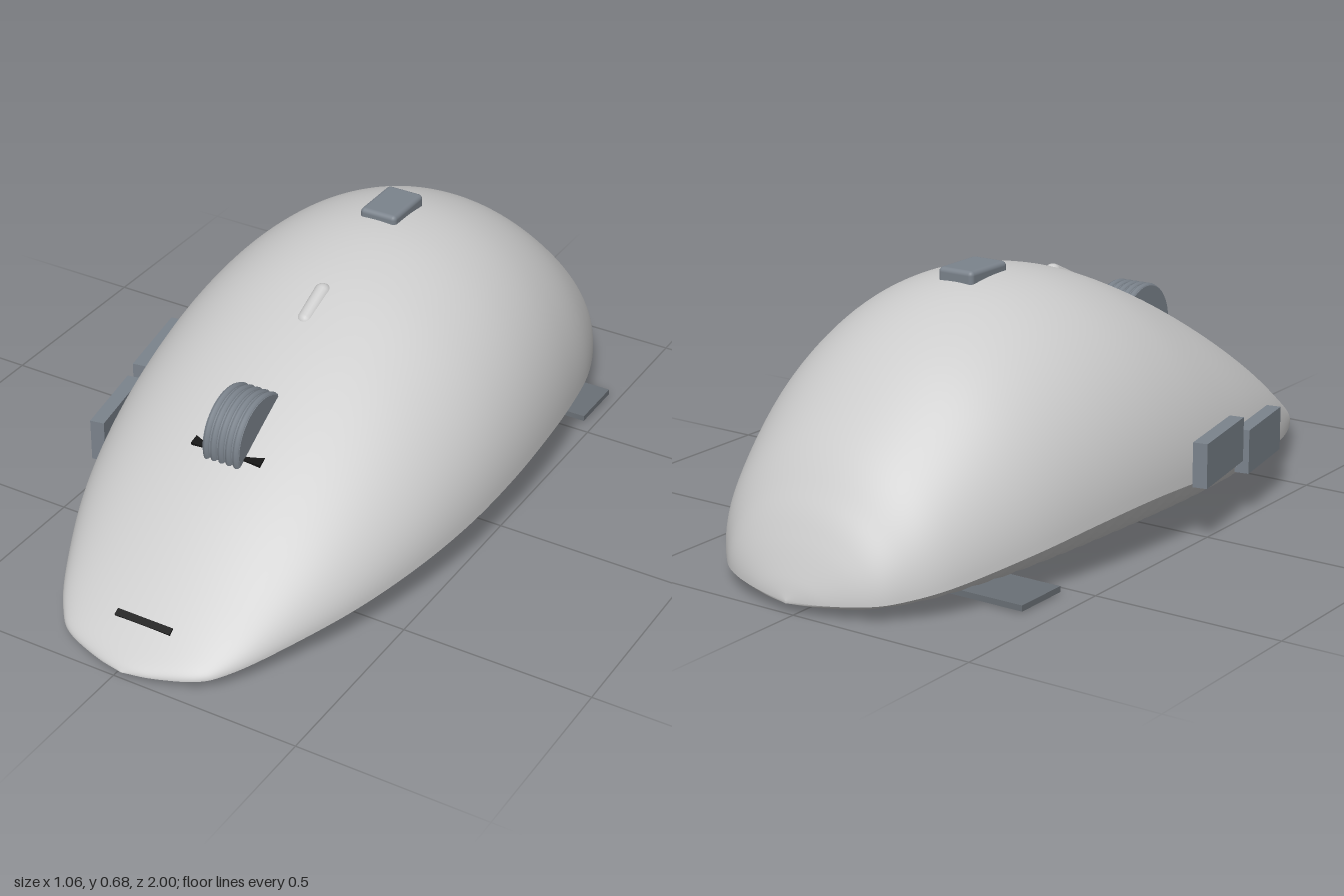
import * as THREE from 'three';
import { RoundedBoxGeometry } from 'three/addons/geometries/RoundedBoxGeometry.js';

const CX = 0.022; // centre line of the body

// Body stations: z, half width, top height, rim height
const stations = [
  [1, 0, 0.018, 0.017], [0.985, 0.08, 0.035, 0.02], [0.95, 0.18, 0.062, 0.028],
  [0.9, 0.235, 0.1, 0.038], [0.8, 0.3, 0.175, 0.058], [0.6, 0.395, 0.32, 0.088],
  [0.4, 0.457, 0.445, 0.112], [0.2, 0.492, 0.55, 0.13], [0, 0.505, 0.628, 0.146],
  [-0.2, 0.498, 0.66, 0.152], [-0.4, 0.472, 0.636, 0.14], [-0.6, 0.425, 0.545, 0.113],
  [-0.8, 0.343, 0.38, 0.075], [-0.9, 0.265, 0.257, 0.052], [-0.95, 0.2, 0.17, 0.042],
  [-0.985, 0.1, 0.085, 0.034], [-1, 0, 0.03, 0.028],
];
const sizes = new THREE.CatmullRomCurve3(
  stations.map(s => new THREE.Vector3(s[1], s[2], s[3])), false, 'catmullrom', 0.5);
const depths = new THREE.CatmullRomCurve3(
  stations.map(s => new THREE.Vector3(s[0], 0, 0)), false, 'catmullrom', 0.5);

const material = color => new THREE.MeshStandardMaterial({ color });
const shellMat = material(0xcccccc);
const greyMat = material(0x7b838c);
const padMat = material(0x6a7076);
const blackMat = material(0x151515);

// Bend a grid so each row follows one cross-section; rule(u, w, h, r, z) gives [x, y]
function loft(columns, rows, rule) {
  const geo = new THREE.PlaneGeometry(1, 1, columns, rows);
  const p = geo.attributes.position;
  for (let i = 0; i < p.count; i++) {
    const t = 0.5 - p.getY(i);
    const { x: w, y: h, z: r } = sizes.getPoint(1 - t);
    const z = THREE.MathUtils.clamp(depths.getPoint(1 - t).x, -1, 1);
    const [x, y] = rule(p.getX(i) * 2, Math.max(w, 0), h, r, z);
    p.setXYZ(i, CX + x, y, z);
  }
  geo.computeVertexNormals();
  return geo;
}

export function createModel() {
  const model = new THREE.Group();

  function add(name, geo, mat, x, y, z, rx = 0, ry = 0, parent = model) {
    const mesh = new THREE.Mesh(geo, mat);
    mesh.name = name;
    mesh.position.set(x, y, z);
    mesh.rotation.set(rx, ry, 0);
    parent.add(mesh);
    return mesh;
  }
  const box = (w, h, d) => new THREE.BoxGeometry(w, h, d);

  // Domed upper shell with half-elliptical sections
  add('upperShell', loft(64, 128, (u, w, h, r) => {
    const a = u * Math.PI / 2;
    return [w * Math.sin(a), r + (h - r) * Math.cos(a)];
  }), shellMat, 0, 0, 0);

  // Underside: flat in the middle, lightly ribbed where it curls up to the rim
  add('underside', loft(40, 256, (u, w, h, r, z) => {
    const s = Math.abs(u), base = 0.012 + 0.012 * z ** 6 * (z < 0 ? 1 : 0.4);
    const rib = 0.12 * Math.sin(z * 95) * s ** 6 * (1 - s) * 4;
    return [-w * u, base + (r - base) * (s ** 5 + rib)];
  }), shellMat, 0, 0, 0);

  // Scroll wheel with raised ribs, seated in a dark slot
  const wheel = new THREE.Group();
  wheel.name = 'scrollWheel';
  wheel.position.set(CX, 0.375, 0.445);
  model.add(wheel);
  const core = new THREE.CylinderGeometry(0.109, 0.109, 0.104, 48).rotateZ(Math.PI / 2);
  add('wheelCore', core, greyMat, 0, 0, 0, 0, 0, wheel);
  const rib = new THREE.TorusGeometry(0.105, 0.01, 8, 48).rotateY(Math.PI / 2);
  for (let i = -2; i <= 2; i++) add('wheelRib', rib, greyMat, i * 0.021, 0, 0, 0, 0, wheel);
  add('wheelSlot', box(0.195, 0.03, 0.04), blackMat, CX, 0.355, 0.513, 0.25);

  // Nose slit, indicator and top button
  add('noseSlit', box(0.155, 0.016, 0.018), blackMat, CX, 0.095, 0.897, 0.5);
  const capsule = new THREE.CapsuleGeometry(0.022, 0.09, 8, 20).rotateX(Math.PI / 2);
  add('indicator', capsule, shellMat, CX + 0.003, 0.569, 0.125, 0.44);
  add('topButton', new RoundedBoxGeometry(0.104, 0.05, 0.15, 3, 0.012), greyMat, CX, 0.655, -0.265);

  // Two thumb buttons on the right flank
  add('rearThumbButton', box(0.038, 0.115, 0.25), greyMat, -0.495, 0.2075, 0.055, 0, 0.175);
  add('frontThumbButton', box(0.038, 0.115, 0.23), greyMat, -0.465, 0.1725, 0.3, 0, 0.175);

  // Glide pads and sensor underneath
  add('frontPad', box(0.42, 0.015, 0.14), padMat, CX, 0.0125, 0.65);
  for (const side of [-1, 1]) {
    add('rearPad', box(0.27, 0.015, 0.155), padMat, CX + side * 0.313, 0.0125, -0.615);
  }
  add('sensor', box(0.205, 0.015, 0.205), blackMat, CX, 0.0075, -0.2);

  return model;
}
